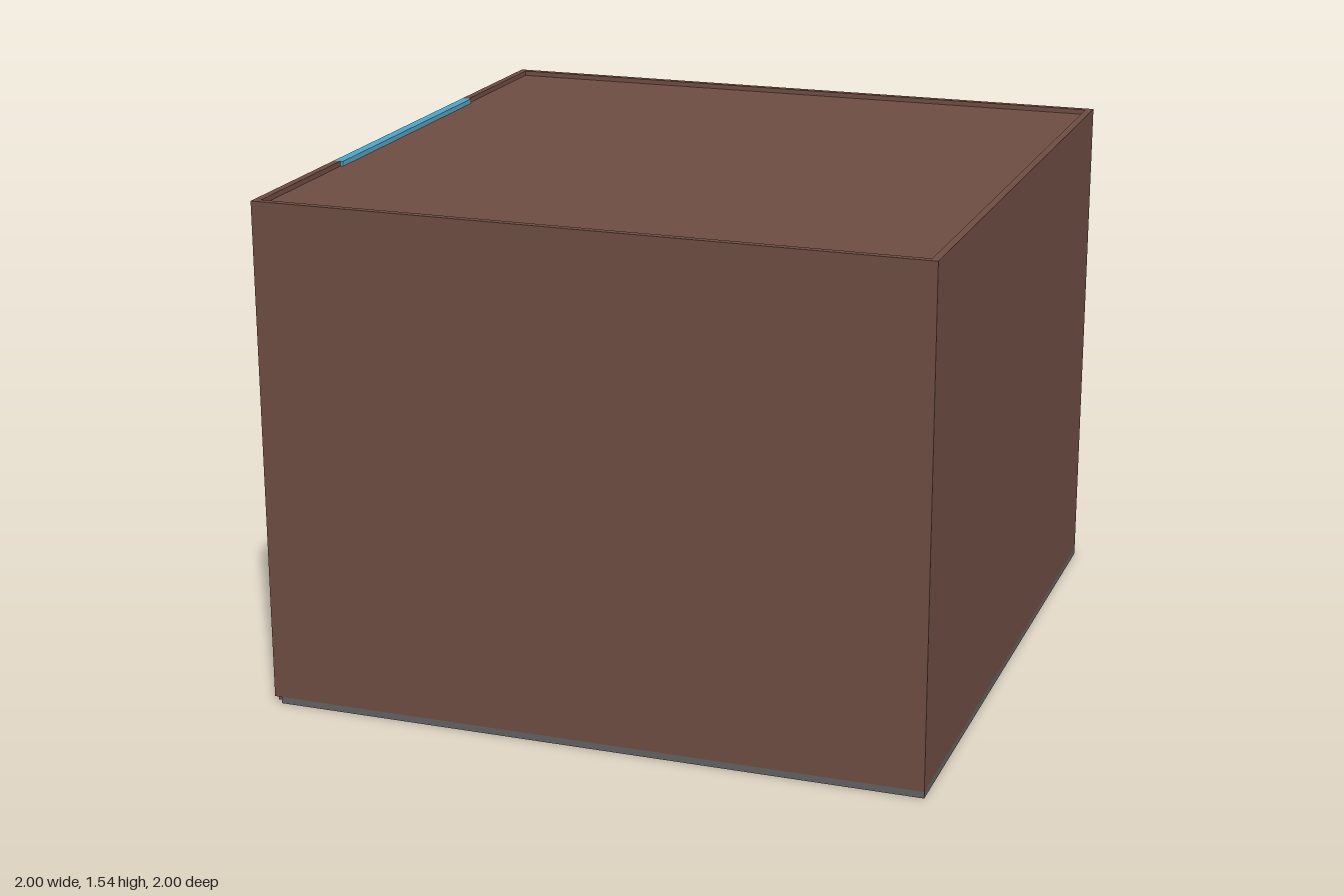
import * as THREE from 'three';

const H = 1.54, T = 0.022, SLAB = 0.02, DADO = 0.47, LIN = 0.006;
const DOOR = { z0: -0.49, z1: 0.47, y0: 0.035 };

function mat(name, color) {
  const m = new THREE.MeshStandardMaterial({ color });
  m.name = name;
  return m;
}

export function createModel() {
  const room = new THREE.Group();
  room.name = 'room';
  const brown = mat('brown wall', 0x6d4c41);
  const blue = mat('blue door', 0x4fa3c3);
  const dark = mat('dark grey', 0x616161);
  const light = mat('light grey', 0x949290);

  // Box given by its minimum and maximum corners
  function box(name, material, a, b) {
    const size = b.map((v, i) => v - a[i]);
    const mesh = new THREE.Mesh(new THREE.BoxGeometry(...size), material);
    mesh.position.set(...a.map((v, i) => (v + b[i]) / 2));
    mesh.name = name;
    room.add(mesh);
  }

  // Floor slab and slightly recessed roof
  box('floor', dark, [-1 + T, 0, -1], [1, SLAB, 1]);
  box('roof', brown, [-1 + T, H - 0.04, -1 + T], [1 - T, H - 0.015, 1 - T]);
  box('ceiling', light, [-1 + T, H - 0.046, -1 + T], [1 - T, H - 0.04, 1 - T]);

  // Outer walls
  box('frontWall', brown, [-1, SLAB, 1 - T], [1, H, 1]);
  box('backWall', brown, [-1, SLAB, -1], [1, H, -1 + T]);
  box('leftWall', brown, [1 - T, SLAB, -1 + T], [1, H, 1 - T]);
  box('rightWallBack', brown, [-1, 0, -1 + T], [-1 + T, H, DOOR.z0]);
  box('rightWallFront', brown, [-1, 0, DOOR.z1], [-1 + T, H, 1 - T]);
  box('doorSill', brown, [-1, 0, DOOR.z0], [-1 + T, DOOR.y0, DOOR.z1]);

  // Two-tone inner wall lining
  const i0 = -1 + T, i1 = 1 - T;
  const bands = [['lowerLining', dark, SLAB, DADO], ['upperLining', light, DADO, H - 0.046]];
  for (const [name, m, y0, y1] of bands) {
    box(name + 'Front', m, [i0, y0, i1 - LIN], [i1, y1, i1]);
    box(name + 'Back', m, [i0, y0, i0], [i1, y1, i0 + LIN]);
    box(name + 'Left', m, [i1 - LIN, y0, i0 + LIN], [i1, y1, i1 - LIN]);
    box(name + 'RightA', m, [i0, y0, i0 + LIN], [i0 + LIN, y1, DOOR.z0]);
    box(name + 'RightB', m, [i0, y0, DOOR.z1], [i0 + LIN, y1, i1 - LIN]);
  }

  // Double door with two open windows, drawn with shape x along z
  const rect = (path, x0, y0, x1, y1) =>
    path.moveTo(x0, y0).lineTo(x1, y0).lineTo(x1, y1).lineTo(x0, y1).closePath();
  const shape = rect(new THREE.Shape(), DOOR.z0, DOOR.y0, DOOR.z1, H);
  for (const [a, b] of [[-0.42, -0.1], [0.08, 0.4]]) {
    shape.holes.push(rect(new THREE.Path(), a, 0.56, b, 1.33));
  }
  const geo = new THREE.ExtrudeGeometry(shape, { depth: 0.03, bevelEnabled: false });
  geo.rotateY(-Math.PI / 2); // x -> z, depth -> -x
  const door = new THREE.Mesh(geo, blue);
  door.position.x = -1 + 0.03;
  door.name = 'door';
  room.add(door);

  return room;
}
